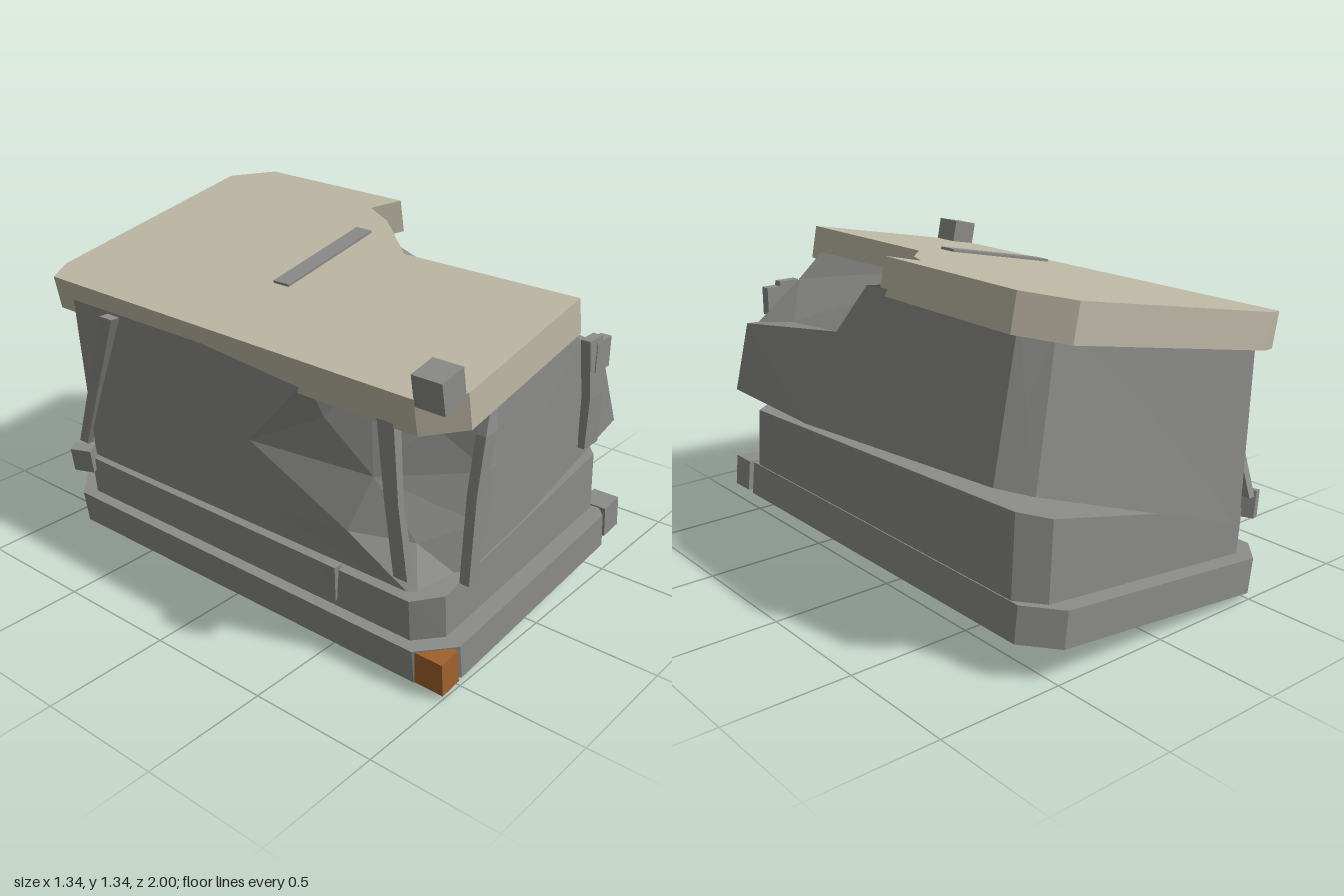
import * as THREE from 'three';

const stone = new THREE.MeshStandardMaterial({ color: 0x8c8c8a });
stone.name = 'greyStone';
const capStone = new THREE.MeshStandardMaterial({ color: 0xbfb9a6 });
capStone.name = 'paleCapStone';
const rust = new THREE.MeshStandardMaterial({ color: 0xa0622d });
rust.name = 'rustOrange';

const V = (x, y, z) => new THREE.Vector3(x, y, z);

// Faceted solid from polygons; every facet is turned away from the centre.
function solid(polys, centre) {
  const out = [];
  for (const poly of polys) {
    const mid = poly.reduce((s, p) => s.add(p), V(0, 0, 0)).divideScalar(poly.length);
    const n = V(0, 0, 0);
    poly.forEach((p, i) => {
      const q = poly[(i + 1) % poly.length];
      n.add(p.clone().sub(mid).cross(q.clone().sub(mid)));
    });
    const flip = n.dot(mid.clone().sub(centre)) < 0;
    const ring = flip ? [...poly].reverse() : poly;
    if (ring.length === 3) out.push(...ring);
    else ring.forEach((p, i) => out.push(mid, p, ring[(i + 1) % ring.length]));
  }
  const g = new THREE.BufferGeometry().setFromPoints(out);
  g.computeVertexNormals();
  return g;
}

// Skin between equal-sized rings, closed at both ends.
function loft(rings) {
  const all = rings.flat();
  const centre = all.reduce((s, p) => s.add(p), V(0, 0, 0)).divideScalar(all.length);
  const polys = [rings[0], rings[rings.length - 1]];
  for (let k = 0; k + 1 < rings.length; k++) {
    rings[k].forEach((p, i, r) => {
      const j = (i + 1) % r.length;
      polys.push([p, r[j], rings[k + 1][j], rings[k + 1][i]]);
    });
  }
  return solid(polys, centre);
}

// Rectangle with cut corners on a sloping surface.
function cutRing(x0, x1, z, c, height) {
  return [[x0 + c, z], [x1 - c, z], [x1, z - c], [x1, c - z],
    [x1 - c, -z], [x0 + c, -z], [x0, c - z], [x0, z - c]]
    .map(([x, w]) => V(x, height(x, w), w));
}

// Four-sided splinter along a list of [x, y, z, halfX, halfZ].
const splinter = (path) => loft(path.map(([x, y, z, a, b]) =>
  [V(x - a, y, z + b), V(x + a, y, z + b), V(x + a, y, z - b), V(x - a, y, z - b)]));

function bodyGeometry() {
  // front gouge edge, left gouge edge and hollow
  const G = [V(-0.29, 1.11, 0.92), V(-0.26, 0.73, 0.92), V(-0.31, 0.55, 0.92), V(-0.37, 0.34, 0.92)];
  const L = [V(-0.62, 1.05, 0.4), V(-0.6, 0.72, 0.1), V(-0.58, 0.5, 0.55), V(-0.56, 0.32, 0.85)];
  const I = [V(-0.46, 1.08, 0.55), V(-0.5, 0.7, 0.6)];
  // lower rim
  const B = V(0.615, 0.62, 0.93), C = V(0.67, 0.645, 0.28), D = V(0.655, 0.715, -0.84);
  const E = V(0.56, 0.69, -0.94), F = V(-0.5, 0.3, -0.93), H = V(-0.57, 0.28, -0.84);
  // upper rim
  const Dt = V(0.55, 1.27, -0.84), Et = V(0.46, 1.25, -0.92);
  const Ft = V(-0.54, 1.07, -0.92), Ht = V(-0.62, 1.05, -0.84);
  // broken corner
  const P = V(0.28, 1.06, 0.93), Q = V(0.49, 0.9, 0.93), W = V(0.48, 0.95, 0.65);
  const R0 = V(0.6, 0.93, 0.83), R1 = V(0.6, 1.03, 0.14), R2 = V(0.565, 1.23, -0.02);
  const U1 = V(0.14, 1.19, 0.92), U2 = V(0.15, 1.19, 0.22);
  const U3 = V(0.36, 1.2, -0.03), U4 = V(0.43, 1.24, -0.17);
  return solid([
    [G[3], B, Q, P, U1, G[0], G[1], G[2]],
    [G[0], I[0], I[1], G[1]], [G[1], I[1], G[2]], [I[0], L[0], L[1], I[1]],
    [L[1], L[2], I[1]], [I[1], L[2], L[3], G[3], G[2]],
    [L[1], L[0], Ht, H], [L[1], H, L[3], L[2]],
    [B, R0, Q], [B, C, R0], [C, R1, R0], [C, D, Dt, R2, R1],
    [D, E, Et, Dt], [E, F, Ft, Et], [F, H, Ht, Ft],
    [Q, R0, W], [W, R0, R1], [W, R1, U3], [R1, R2, U4], [R1, U4, U3],
    [W, U3, U2], [W, U2, P], [P, U2, U1], [W, P, Q],
    [G[3], B, C, D, E, F, H, L[3]],
  ], V(0, 0.7, 0));
}

function capGeometry() {
  const outline = [[-0.53, 1], [0.145, 0.99], [0.15, 0.22], [0.36, -0.03], [0.43, -0.17], [0.54, -0.1],
    [0.56, -0.84], [0.44, -1], [-0.52, -1], [-0.625, -0.95], [-0.645, 0.87]];
  // sloping slab, its underside shifted square to the slope
  const top = outline.map(([x, z]) => V(x, 1.243 + 0.19 * x, z));
  const bottom = top.map((p) => p.clone().add(V(0.027, -0.138, 0)));
  const shape = outline.map(([x, z]) => new THREE.Vector2(x, z));
  const pts = [];
  for (const [a, b, c] of THREE.ShapeUtils.triangulateShape(shape, [])) {
    const up = top[b].clone().sub(top[a]).cross(top[c].clone().sub(top[a])).y > 0;
    const [i, j] = up ? [b, c] : [c, b];
    pts.push(top[a], top[i], top[j], bottom[a], bottom[j], bottom[i]);
  }
  top.forEach((p, i) => {
    const j = (i + 1) % top.length;
    pts.push(bottom[i], bottom[j], top[j], bottom[i], top[j], p);
  });
  const g = new THREE.BufferGeometry().setFromPoints(pts);
  g.computeVertexNormals();
  return g;
}

export function createModel() {
  const model = new THREE.Group();
  model.name = 'ruinedStoneBlock';
  const add = (name, geometry, material = stone) => {
    const m = new THREE.Mesh(geometry, material);
    m.name = name;
    model.add(m);
    return m;
  };
  const block = (name, size, pos, tilt, material) => {
    const m = add(name, new THREE.BoxGeometry(...size), material);
    m.position.set(...pos);
    m.rotation.z = tilt;
    return m;
  };

  // Two sloping plinth tiers
  const low = (x) => 0.09 + 0.1 * x;
  const mid = (x) => 0.232 + 0.1 * x;
  const high = (x, z) => 0.442 + 0.17 * x + (z < 0 ? 0.06 * (x + 0.6) : 0);
  add('lowerPlinth', loft([cutRing(-0.61, 0.595, 1, 0.12, low), cutRing(-0.63, 0.58, 1, 0.12, mid)]));
  add('upperPlinth', loft([cutRing(-0.585, 0.575, 0.93, 0.09, mid), cutRing(-0.6, 0.56, 0.93, 0.09, high)]));

  // Leaning body and cap
  add('brokenBody', bodyGeometry());
  add('capSlab', capGeometry(), capStone);
  block('capStrip', [0.495, 0.01, 0.075], [-0.055, 1.266, -0.01], 0.2);

  // Corner blocks
  block('capCornerBlock', [0.115, 0.12, 0.12], [-0.595, 1.165, 0.93], 0.2);
  block('rustCornerBlock', [0.095, 0.135, 0.13], [-0.567, 0.102, 0.938], 0.1, rust);
  block('leftCornerBlock', [0.105, 0.13, 0.11], [0.555, 0.228, 0.935], 0.1);

  // Remains of the corner posts
  add('frontPostSliver', splinter([[-0.4, 0.37, 0.95, 0.03, 0.02], [-0.4, 0.72, 0.96, 0.025, 0.02],
    [-0.37, 0.94, 0.97, 0.035, 0.02], [-0.34, 1.06, 0.96, 0.015, 0.015]]));
  add('frontPostFace', splinter([[-0.35, 0.5, 0.94, 0.04, 0.012], [-0.33, 0.78, 0.95, 0.04, 0.012],
    [-0.33, 0.99, 0.94, 0.035, 0.012]]));
  add('brokenCornerPost', splinter([[0.39, 0.6, 0.94, 0.05, 0.015], [0.375, 0.82, 0.95, 0.05, 0.018],
    [0.33, 1.06, 0.95, 0.045, 0.02]]));
  block('brokenPostKnob', [0.1, 0.12, 0.045], [0.39, 0.98, 0.95], 0);
  add('rearSidePost', splinter([[-0.575, 0.39, -0.9, 0.015, 0.025], [-0.605, 0.7, -0.76, 0.015, 0.03],
    [-0.64, 1.04, -0.6, 0.02, 0.035]]));
  add('frontSidePost', splinter([[-0.55, 0.39, 0.78, 0.02, 0.03], [-0.59, 0.7, 0.76, 0.015, 0.03],
    [-0.6, 1.0, 0.74, 0.02, 0.035]]));
  add('sideShard', splinter([[-0.59, 0.2, 0.5, 0.006, 0.01], [-0.605, 0.36, 0.5, 0.02, 0.03]]));
  block('rearShard', [0.05, 0.11, 0.09], [-0.62, 0.34, -0.86], 0.2).rotation.y = 0.4;

  // Rubble under the base
  [[-0.265, 0.05, 0.48, 0.08, 0.032, 0.05], [0.045, 0.05, 0.13, 0.085, 0.045, 0.06],
    [0.13, 0.06, 0.02, 0.08, 0.05, 0.09], [0.22, 0.07, -0.05, 0.1, 0.06, 0.1]].forEach(([x, y, z, a, b, c], i) => {
    const pebble = add('pebble' + (i + 1), new THREE.IcosahedronGeometry(1, 0).scale(a, b, c));
    pebble.position.set(x, y, z);
  });
  return model;
}
